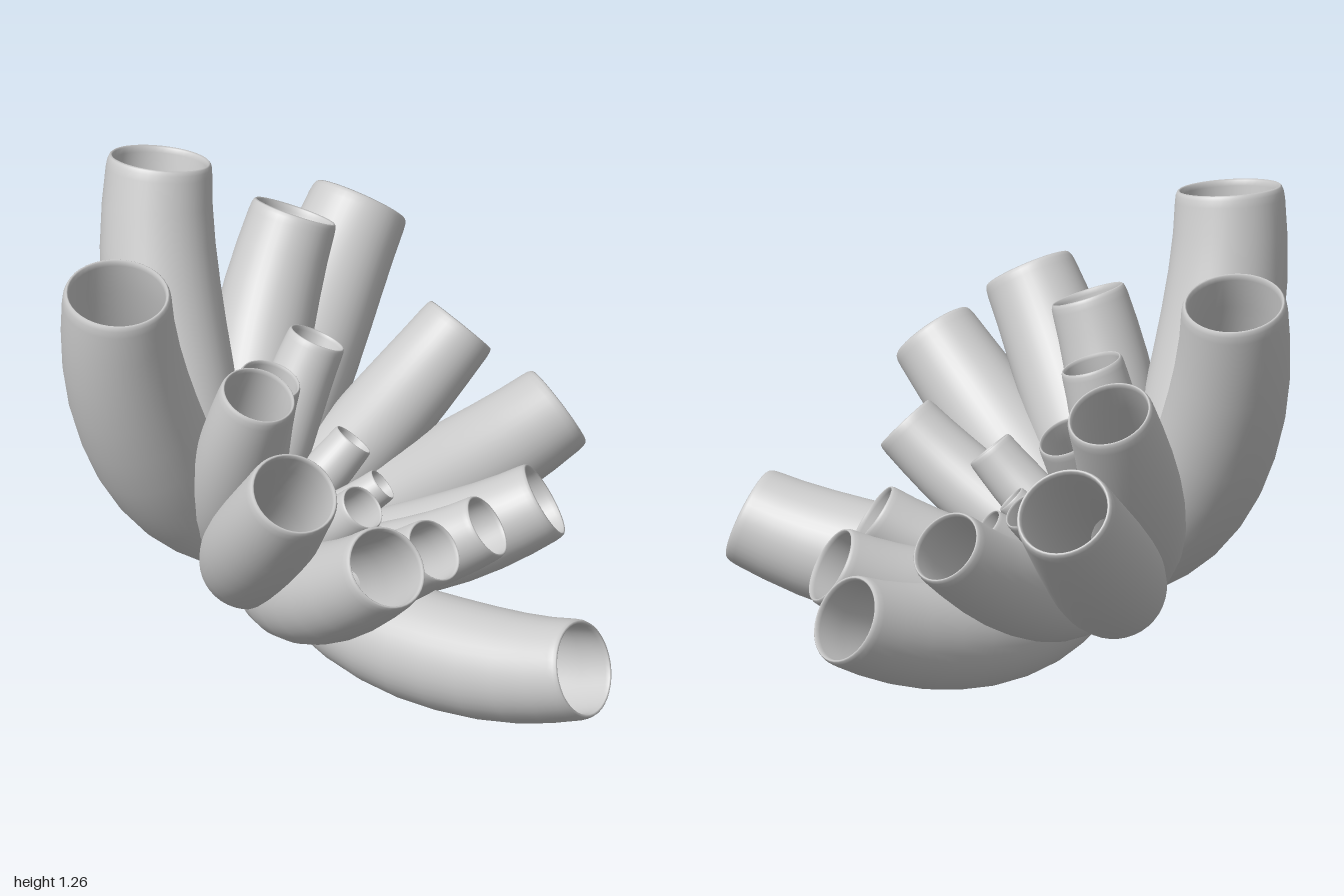
import * as THREE from 'three';

const SIDES = 40;
const HUB = new THREE.Vector3(-0.24, 0.235, 0.07);
const AXIS = new THREE.Vector3(0.5, 0.866, 0).normalize();

// Rim centre x, y, z and rim radius of each tube, from the outside of the cluster inwards
const TUBES = [
  [-0.597, 1.25, 0.38, 0.14], [0.675, 0.265, 0.705, 0.13], [-0.49, 1.2, -0.42, 0.136],
  [0.05, 0.79, -0.893, 0.13], [-0.11, 0.887, 0.828, 0.12], [0.592, 0.375, -0.502, 0.12],
  [0.142, 0.695, 0.895, 0.115], [-0.125, 0.95, -0.565, 0.114], [0.56, 0.365, -0.025, 0.106],
  [-0.212, 0.952, 0.415, 0.1], [0.325, 0.592, -0.567, 0.103], [0.407, 0.422, 0.213, 0.088],
  [0.267, 0.555, 0.567, 0.088], [-0.183, 0.845, 0.15, 0.082], [-0.06, 0.764, -0.205, 0.077],
  [0.07, 0.55, 0.333, 0.064], [0.04, 0.515, -0.085, 0.056], [0.12, 0.44, 0.025, 0.046],
  [0.035, 0.46, 0.17, 0.041], [-0.1, 0.44, 0.095, 0.026], [-0.13, 0.43, 0.07, 0.02],
];

// Wall section as [position along the tube, radius factor]: outside, rolled lip, inside
const OUTSIDE = [
  [0, 0.04], [0.005, 0.4], [0.06, 0.54], [0.14, 0.75], [0.24, 0.96], [0.35, 1.11],
  [0.46, 1.19], [0.57, 1.21], [0.68, 1.2], [0.79, 1.16], [0.89, 1.11], [0.97, 1.07],
];
const LIP = [[0.988, 1.05], [0.997, 1.02], [1, 0.99], [0.997, 0.96], [0.985, 0.94]];
const INSIDE = [
  [0.9, 0.98], [0.75, 1.05], [0.6, 1.09], [0.45, 1.06], [0.33, 0.96],
  [0.22, 0.78], [0.14, 0.6], [0.1, 0.35], [0.095, 0.02],
];
const WALL = [...OUTSIDE, ...LIP, ...INSIDE];

function tubeGeometry(x, y, z, rimRadius) {
  const rim = new THREE.Vector3(x, y, z);
  const d = rim.clone().sub(HUB);
  const height = d.dot(AXIS);
  const radial = d.clone().addScaledVector(AXIS, -height);
  const reach = radial.length();
  radial.normalize();

  // Inner tubes start higher on the axis; each leaves outwards and bends towards it
  const lift = 0.16 * Math.max(0, 1 - reach / 0.5);
  const at = (out, up) => HUB.clone()
    .addScaledVector(radial, out * reach)
    .addScaledVector(AXIS, lift + up * (height - lift));
  const path = new THREE.CubicBezierCurve3(at(0.1, 0), at(0.42, 0.2), at(0.78, 0.52), rim);
  const across = AXIS.clone().cross(radial).normalize();

  const positions = [], index = [];
  WALL.forEach(([t, factor], i) => {
    const centre = path.getPoint(t);
    const other = path.getTangent(t).cross(across);
    for (let j = 0; j < SIDES; j++) {
      const angle = (j / SIDES) * Math.PI * 2;
      const p = centre.clone()
        .addScaledVector(across, Math.cos(angle) * factor * rimRadius)
        .addScaledVector(other, Math.sin(angle) * factor * rimRadius);
      positions.push(p.x, p.y, p.z);
      if (i === WALL.length - 1) continue;
      const k = (j + 1) % SIDES;
      const a = i * SIDES + j, b = i * SIDES + k;
      index.push(a, b, b + SIDES, a, b + SIDES, a + SIDES);
    }
  });
  const geometry = new THREE.BufferGeometry();
  geometry.setAttribute('position', new THREE.Float32BufferAttribute(positions, 3));
  geometry.setIndex(index);
  geometry.computeVertexNormals();
  return geometry;
}

export function createModel() {
  const group = new THREE.Group();
  group.name = 'tubeCluster';
  const material = new THREE.MeshStandardMaterial({ color: 0xcccccc, side: THREE.DoubleSide });
  TUBES.forEach((tube, i) => {
    const mesh = new THREE.Mesh(tubeGeometry(...tube), material);
    mesh.name = `tube${i + 1}`;
    group.add(mesh);
  });
  return group;
}
